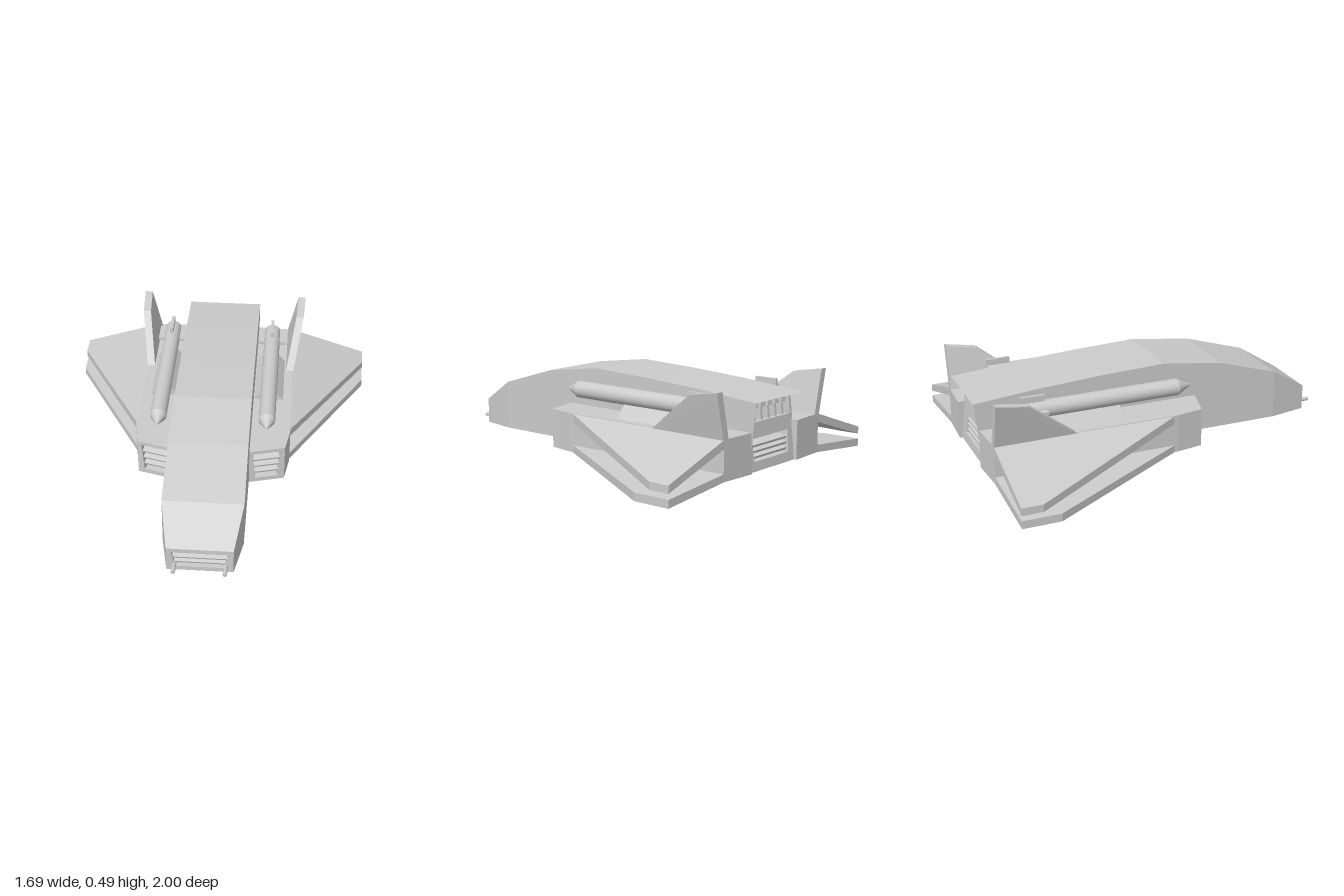
import * as THREE from 'three';

const grey = new THREE.MeshStandardMaterial({ color: 0xcccccc });
const flat = new THREE.MeshStandardMaterial({ color: 0xcccccc, flatShading: true });

function add(parent, name, geometry, material = flat, x = 0, y = 0, z = 0) {
  const mesh = new THREE.Mesh(geometry, material);
  mesh.name = name;
  mesh.position.set(x, y, z);
  parent.add(mesh);
  return mesh;
}

// Skin four-cornered rings into a solid; faces are turned outwards automatically
function loft(rings, capStart = true, capEnd = true) {
  const tris = [];
  const quad = (a, b, c, d) => tris.push([a, b, c], [a, c, d]);
  for (let i = 0; i < rings.length - 1; i++) {
    for (let j = 0; j < 4; j++) {
      const k = (j + 1) % 4;
      quad(rings[i][j], rings[i][k], rings[i + 1][k], rings[i + 1][j]);
    }
  }
  if (capStart) quad(...[...rings[0]].reverse());
  if (capEnd) quad(...rings[rings.length - 1]);
  const all = rings.flat().map(p => new THREE.Vector3(...p));
  const centre = all.reduce((s, p) => s.add(p), new THREE.Vector3()).divideScalar(all.length);
  let volume = 0;
  for (const t of tris) {
    const [a, b, c] = t.map(p => new THREE.Vector3(...p).sub(centre));
    volume += a.dot(b.cross(c));
  }
  if (volume < 0) tris.forEach(t => t.reverse());
  const geometry = new THREE.BufferGeometry();
  geometry.setAttribute('position', new THREE.Float32BufferAttribute(tris.flat(2), 3));
  geometry.computeVertexNormals();
  return geometry;
}

// Trapezoid outline: [bottom y, top y, bottom half width, top half width]
const trapezoid = ([y0, y1, w0, w1]) =>
  [[-w0, y0], [w0, y0], [w1, y1], [-w1, y1]].map(p => new THREE.Vector2(...p));

// End wall facing local +z, with recessed openings closed by a back panel
function wall(name, outline, holes, depth) {
  const group = new THREE.Group();
  group.name = name;
  const shape = new THREE.Shape(trapezoid(outline));
  for (const h of holes) shape.holes.push(new THREE.Path(trapezoid(h)));
  const frame = new THREE.ExtrudeGeometry(shape, { depth, bevelEnabled: false });
  add(group, 'frame', frame.translate(0, 0, -depth));
  for (const h of holes) {
    add(group, 'recessPanel', new THREE.ShapeGeometry(new THREE.Shape(trapezoid(h))), flat, 0, 0, -depth);
  }
  return group;
}

// Tilted horizontal blades across an opening
function slats(group, [y0, y1, w0, w1], count, depth) {
  for (let i = 1; i <= count; i++) {
    const t = i / (count + 1);
    const width = 2 * (w0 + (w1 - w0) * t);
    const blade = add(group, 'slat', new THREE.BoxGeometry(width, 0.012, depth * 0.8), flat,
      0, y0 + (y1 - y0) * t, -depth / 2);
    blade.rotation.x = 0.35;
  }
}

function fuselage(model) {
  const ring = (zTop, w, top, zBottom = zTop) =>
    [[-w, 0.04, zBottom], [w, 0.04, zBottom], [w, top, zTop], [-w, top, zTop]];
  add(model, 'fuselage', loft([
    ring(0.94, 0.17, 0.18), ring(0.73, 0.21, 0.31), ring(0.39, 0.21, 0.415),
    ring(0.05, 0.21, 0.462), ring(-0.3, 0.21, 0.45), ring(-0.65, 0.21, 0.43),
    ring(-1, 0.21, 0.4, -0.96),
  ], false, false));

  // Nose grille
  const noseHole = [0.065, 0.155, 0.125, 0.145];
  const nose = wall('noseGrille', [0.04, 0.18, 0.17, 0.17], [noseHole], 0.06);
  slats(nose, noseHole, 2, 0.06);
  nose.position.z = 0.94;
  model.add(nose);

  // Sloping tail wall with an exhaust row above a louvred vent
  const vent = [0.05, 0.165, 0.15, 0.16];
  const exhaust = [0.245, 0.335, 0.19, 0.19];
  const tail = wall('tailWall', [0, Math.hypot(0.36, 0.04), 0.21, 0.21], [vent, exhaust], 0.08);
  slats(tail, vent, 3, 0.08);
  for (let i = 0; i < 6; i++) {
    const x = -0.155 + i * 0.062;
    add(tail, 'exhaustStrut', new THREE.BoxGeometry(0.018, 0.09, 0.04), flat, x, 0.29, -0.04);
    add(tail, 'exhaustCap', new THREE.BoxGeometry(0.036, 0.025, 0.055), flat, x, 0.3225, -0.035);
  }
  tail.position.set(0, 0.04, -0.96);
  tail.rotation.set(-Math.atan2(0.04, 0.36), Math.PI, 0, 'YXZ');
  model.add(tail);
}

function pod(model, s) {
  const ring = (zIn, xOut, zOut) => [
    [s * 0.2, 0.04, zIn], [s * xOut, 0.04, zOut], [s * xOut, 0.25, zOut], [s * 0.2, 0.25, zIn]];
  add(model, 'sidePod', loft(
    [ring(0.242, 0.4, 0.19), ring(0.04, 0.425, 0.04), ring(-0.975, 0.42, -0.963)], false, true));

  // Slanted intake
  const hole = [0.065, 0.23, 0.062, 0.076];
  const intake = wall('sideIntake', [0.04, 0.25, 0.098, 0.098], [hole], 0.06);
  slats(intake, hole, 3, 0.06);
  intake.position.set(s * 0.305, 0, 0.215);
  intake.rotation.y = s * 0.257;
  model.add(intake);
}

function wing(model, s, name, root, tip) {
  const ring = ([x, zFront, y0, y1]) => [
    [s * x, y0, zFront], [s * x, y1, zFront], [s * x, y1, -0.963], [s * x, y0, -0.963]];
  add(model, name, loft([ring(root), ring(tip)]));
}

function fin(model, s) {
  const ring = (x, zFront, yFront, yBack, lean) => [
    [s * x, yFront, zFront], [s * (x + 0.043), yFront, zFront],
    [s * (x + 0.043 + lean), yBack, -0.963], [s * (x + lean), yBack, -0.963]];
  add(model, 'tailFin', loft([ring(0.382, -0.515, 0.24, 0.24, 0), ring(0.432, -0.79, 0.455, 0.485, 0.008)]));
}

function missile(model, s) {
  const group = new THREE.Group();
  group.name = 'missile';
  group.position.set(s * 0.295, 0.355, 0);
  add(group, 'missileBody', new THREE.CylinderGeometry(0.045, 0.045, 0.87, 28).rotateX(Math.PI / 2),
    grey, 0, 0, -0.345);
  add(group, 'missileTip', new THREE.ConeGeometry(0.045, 0.085, 28).rotateX(Math.PI / 2), grey, 0, 0, 0.1325);
  for (let i = 0; i < 4; i++) {
    const blade = new THREE.BoxGeometry(0.045, 0.018, 0.13).translate(0.0545, 0, -0.715);
    add(group, 'missileFin', blade.rotateZ(i * Math.PI / 2));
  }
  model.add(group);

  // Wedge pylon below the missile
  const ring = z => [[s * 0.21, 0.245, z], [s * 0.38, 0.245, z], [s * 0.305, 0.33, z], [s * 0.285, 0.33, z]];
  add(model, 'missilePylon', loft([ring(-0.245), ring(-0.63)]));
}

export function createModel() {
  const model = new THREE.Group();
  model.name = 'spacecraft';
  fuselage(model);
  for (const s of [1, -1]) {
    pod(model, s);
    wing(model, s, 'upperWing', [0.415, 0.04, 0.205, 0.25], [0.845, -0.85, 0.07, 0.11]);
    wing(model, s, 'lowerWing', [0.415, 0.04, 0.04, 0.08], [0.845, -0.76, 0, 0.042]);
    fin(model, s);
    missile(model, s);
    add(model, 'noseGun', new THREE.CylinderGeometry(0.011, 0.011, 0.1, 12).rotateX(Math.PI / 2),
      grey, s * 0.13, 0.075, 0.95);
  }
  return model;
}
